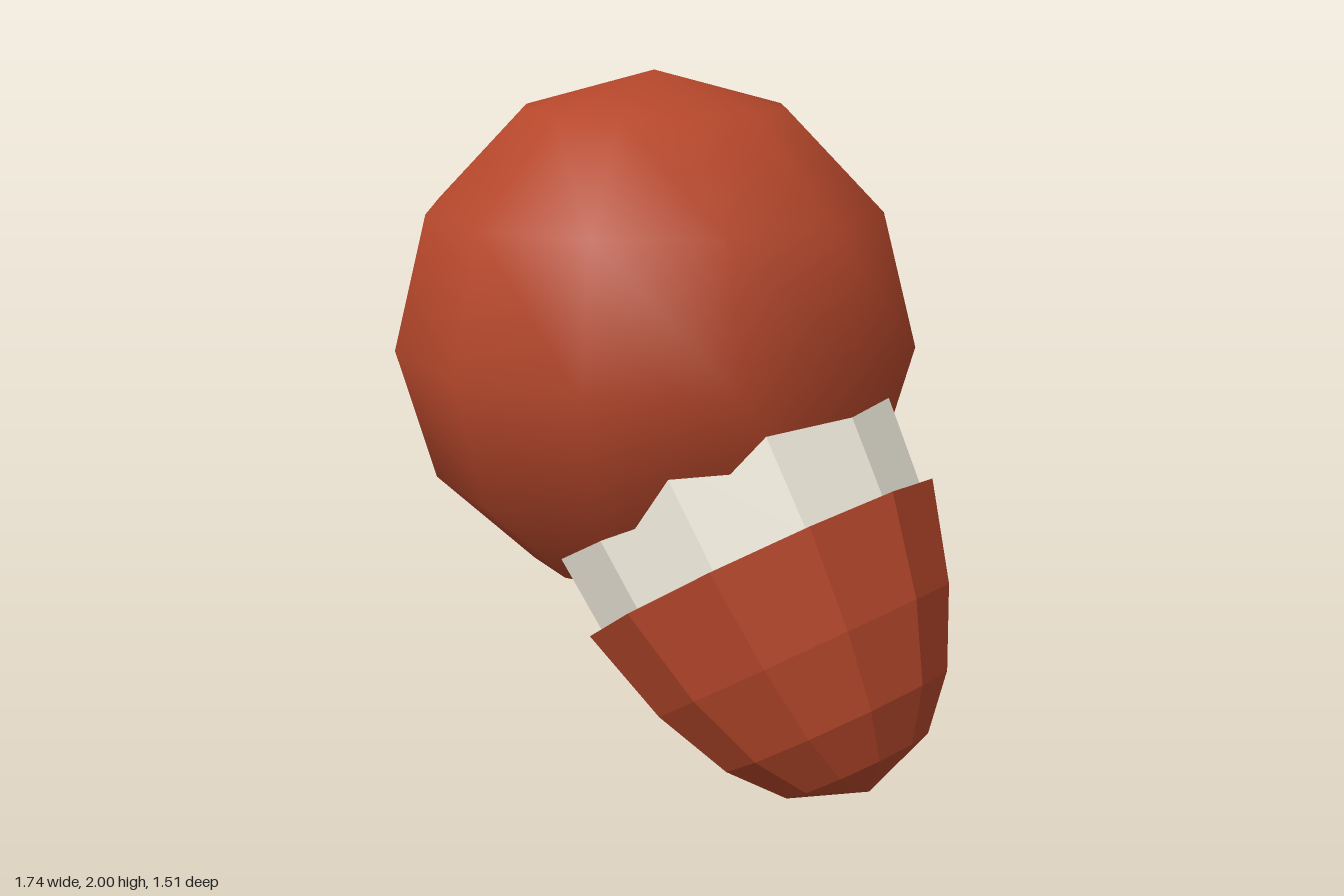
import * as THREE from 'three';

const SIDES = 12;

// Faceted solid of revolution from [radius, height] pairs, listed bottom to top
function turned(name, profile, material) {
  const points = profile.map(([r, y]) => new THREE.Vector2(r, y));
  const mesh = new THREE.Mesh(new THREE.LatheGeometry(points, SIDES), material);
  mesh.name = name;
  return mesh;
}

export function createModel() {
  const model = new THREE.Group();
  model.name = 'model';
  const red = new THREE.MeshStandardMaterial({ color: 0xb5472b });
  const redFlat = new THREE.MeshStandardMaterial({ color: 0xb5472b, flatShading: true });
  const cream = new THREE.MeshStandardMaterial({
    color: 0xece7d9, flatShading: true, side: THREE.DoubleSide,
  });

  // Smooth-shaded ball
  const ball = new THREE.Mesh(new THREE.SphereGeometry(0.757, SIDES, 6), red);
  ball.name = 'ball';
  ball.position.set(-0.115, 1.245, 0);
  model.add(ball);

  // Tilted cup below the ball, with its rim at local y = 0
  const cup = new THREE.Group();
  cup.name = 'cup';
  cup.position.set(0.305, 0.648, 0);
  cup.rotation.z = 0.604;
  cup.add(turned('cupShell', [
    [0, -0.71], [0.223, -0.628], [0.347, -0.493], [0.456, -0.28], [0.541, 0], [0, 0],
  ], redFlat));

  // Pale collar, flaring slightly and running up into the ball
  cup.add(turned('collar', [[0.502, -0.01], [0.536, 0.32]], cream));
  model.add(cup);

  return model;
}
